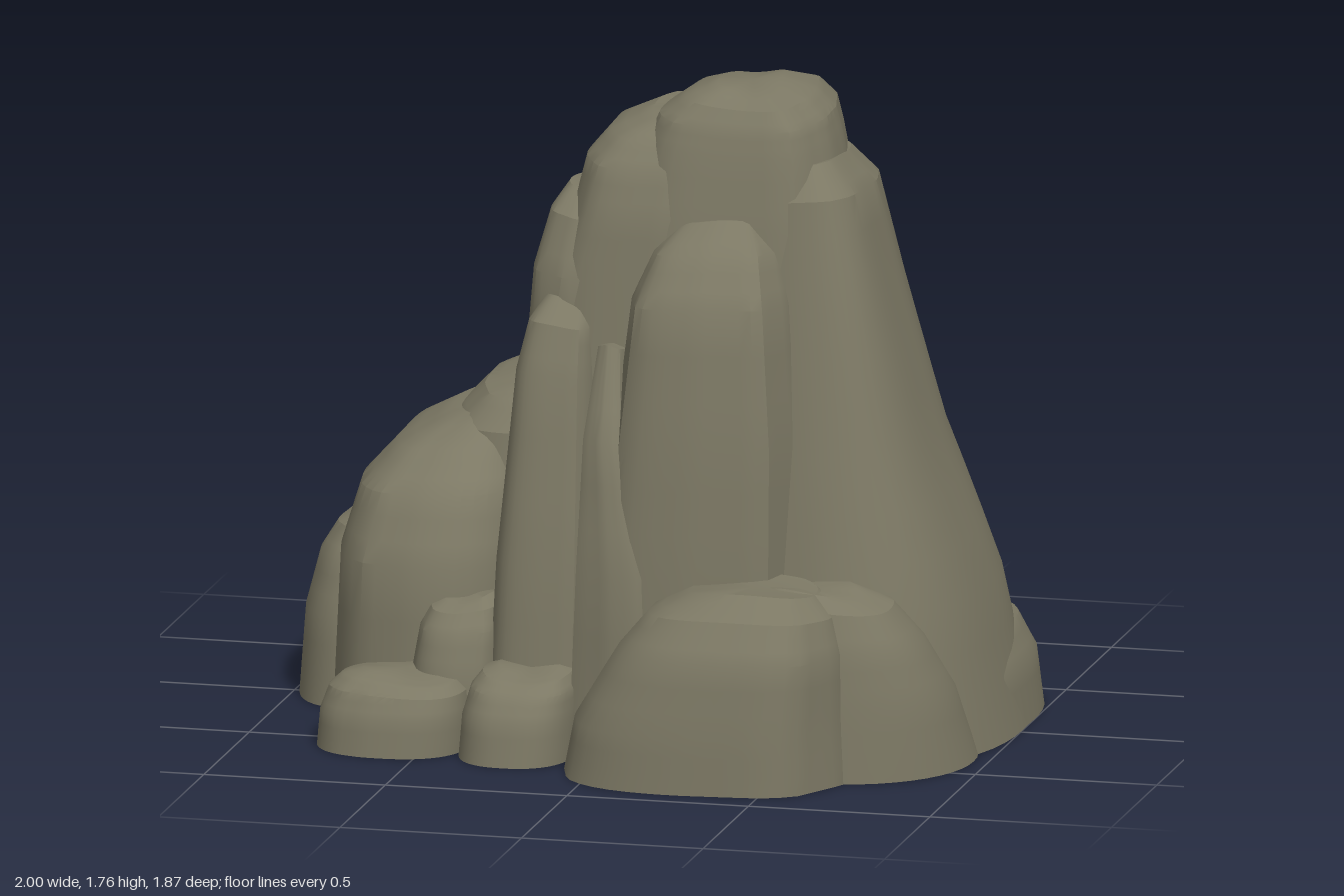
import * as THREE from 'three';
import { toCreasedNormals } from 'three/addons/utils/BufferGeometryUtils.js';

const SIDES = 48, SUB = 3, CUTS = 6;

function makeRandom(seed) {
  let s = seed * 7919 + 17;
  return () => (s = (s * 16807) % 2147483647) / 2147483647;
}

// Radius of a rounded square: power 2 is a circle, higher is squarer
const roundSquare = (a, power) => Math.pow(Math.abs(Math.cos(a)) ** power + Math.abs(Math.sin(a)) ** power, -1 / power);

// Lofts slices [y, xMin, xMax, zMin, zMax] from one squareness to another and chisels flat faces off the sides
function loftRock(slices, seed, [lowPower, highPower], rough) {
  const random = makeRandom(seed);
  const cuts = Array.from({ length: CUTS }, (_, i) => {
    const angle = ((i + 0.2 + 0.6 * random()) / CUTS) * Math.PI * 2;
    return { angle, depth: roundSquare(angle, highPower) * (1 - rough * random()), lean: (random() - 0.5) * rough };
  });
  const rows = [slices[0]];
  for (let i = 1; i < slices.length; i++) {
    for (let k = 1; k <= SUB; k++) rows.push(slices[i].map((v, n) => THREE.MathUtils.lerp(slices[i - 1][n], v, k / SUB)));
  }
  const height = slices[slices.length - 1][0];
  const pos = [], index = [];
  for (const [y, x0, x1, z0, z1] of rows) {
    const t = y / height, power = THREE.MathUtils.lerp(lowPower, highPower, t);
    for (let j = 0; j < SIDES; j++) {
      const a = (j / SIDES) * Math.PI * 2;
      let k = roundSquare(a, power);
      for (const cut of cuts) {
        const facing = Math.cos(a - cut.angle);
        if (facing > 0.2) k = Math.min(k, (cut.depth + cut.lean * (t - 0.5)) / facing);
      }
      const lift = 0.025 * Math.max(0, t - 0.6) * Math.sin(2 * a + seed);
      pos.push((x0 + x1) / 2 + Math.cos(a) * k * (x1 - x0) / 2, y + lift, (z0 + z1) / 2 - Math.sin(a) * k * (z1 - z0) / 2);
    }
  }
  const n = rows.length, bottom = n * SIDES, top = bottom + 1;
  for (const [y, x0, x1, z0, z1] of [rows[0], rows[n - 1]]) pos.push((x0 + x1) / 2, y, (z0 + z1) / 2);
  for (let j = 0; j < SIDES; j++) {
    const q = (j + 1) % SIDES;
    for (let i = 0; i < n - 1; i++) {
      const a = i * SIDES + j, b = i * SIDES + q;
      index.push(a, b, b + SIDES, a, b + SIDES, a + SIDES);
    }
    index.push(q, j, bottom, (n - 1) * SIDES + j, (n - 1) * SIDES + q, top);
  }
  const geo = new THREE.BufferGeometry();
  geo.setAttribute('position', new THREE.Float32BufferAttribute(pos, 3));
  geo.setIndex(index);
  return toCreasedNormals(geo, 0.5);
}

// Boulder slices from its footprint, height and how far the crown shifts
function boulder(x0, x1, z0, z1, h, dx, dz) {
  const cx = (x0 + x1) / 2, cz = (z0 + z1) / 2;
  return [[0, 1], [0.5, 0.98], [0.8, 0.91], [0.94, 0.77], [1, 0.52]].map(([t, k]) => {
    const mx = cx + dx * t * t, mz = cz + dz * t * t, rx = k * (x1 - x0) / 2, rz = k * (z1 - z0) / 2;
    return [t * h, mx - rx, mx + rx, mz - rz, mz + rz];
  });
}

export function createModel() {
  const group = new THREE.Group();
  const stone = new THREE.MeshStandardMaterial({ color: 0x7c7864 });
  stone.name = 'mossy grey stone';
  let seed = 1;
  const add = (name, slices, powers, rough) => {
    const mesh = new THREE.Mesh(loftRock(slices, seed++, powers, rough), stone);
    mesh.name = name;
    group.add(mesh);
  };

  // Tall spire and the columns leaning on it
  add('spire', [
    [0, -0.25, 0.7, -0.5, 0.5], [0.8, -0.2, 0.57, -0.38, 0.37], [1.4, -0.05, 0.54, -0.3, 0.29],
    [1.6, 0.0, 0.5, -0.27, 0.25], [1.67, 0.03, 0.48, -0.26, 0.23], [1.72, 0.1, 0.43, -0.22, 0.2],
    [1.75, 0.18, 0.34, -0.13, 0.12]], [4, 4], 0.03);
  add('spireLeftCrown', [
    [0, -0.34, 0.3, -0.36, 0.45], [0.9, -0.3, 0.25, -0.32, 0.35], [1.25, -0.26, 0.25, -0.3, 0.31],
    [1.42, -0.2, 0.25, -0.28, 0.29], [1.55, -0.17, 0.25, -0.26, 0.25], [1.62, -0.11, 0.25, -0.23, 0.2],
    [1.67, 0, 0.25, -0.16, 0.14]], [3.5, 3.5], 0.04);
  add('rightFlank', [
    [0, 0.1, 1.0, -0.6, 0.56], [0.4, 0.12, 0.91, -0.5, 0.48], [0.8, 0.16, 0.77, -0.37, 0.4],
    [1.2, 0.2, 0.66, -0.29, 0.32], [1.48, 0.24, 0.585, -0.26, 0.26], [1.56, 0.3, 0.51, -0.2, 0.18]], [2.2, 4.2], 0.02);
  add('frontColumn', [
    [0, -0.1, 0.5, 0.05, 0.59], [0.5, -0.07, 0.49, 0.05, 0.57], [0.85, -0.03, 0.48, 0.05, 0.54],
    [1.22, 0.01, 0.44, 0.05, 0.485], [1.35, 0.06, 0.4, 0.05, 0.4], [1.42, 0.12, 0.34, 0.1, 0.29]], [3.6, 3.6], 0.04);
  add('frontRib', [
    [0, -0.13, 0.18, 0.1, 0.6], [0.5, -0.11, 0.14, 0.1, 0.58], [0.85, -0.1, 0.04, 0.1, 0.5],
    [1.08, -0.08, 0.0, 0.15, 0.38]], [4, 4], 0.04);
  add('leftSliver', [
    [0, -0.37, -0.07, 0.05, 0.53], [0.5, -0.35, -0.07, 0.05, 0.49], [1.0, -0.31, -0.09, 0.05, 0.41],
    [1.13, -0.28, -0.1, 0.08, 0.37], [1.19, -0.24, -0.12, 0.13, 0.3]], [3.6, 3.6], 0.04);
  add('leftShoulder', [
    [0, -0.4, 0.1, -0.25, 0.35], [0.9, -0.33, 0.1, -0.25, 0.33], [1.25, -0.3, 0.0, -0.22, 0.3],
    [1.4, -0.26, -0.02, -0.18, 0.24], [1.46, -0.22, -0.08, -0.1, 0.15]], [3.5, 3.5], 0.05);
  add('backFlank', [
    [0, -0.2, 0.68, -0.73, 0], [0.5, -0.18, 0.62, -0.66, 0], [0.82, -0.17, 0.56, -0.58, 0],
    [1.13, -0.12, 0.5, -0.45, 0], [1.31, -0.02, 0.45, -0.32, 0]], [3, 3.4], 0.05);

  // Broad lower domes on the left
  add('leftDome', [
    [0, -0.75, 0.05, -0.88, 0.2], [0.4, -0.7, 0.03, -0.82, 0.2], [0.62, -0.64, 0.0, -0.74, 0.18],
    [0.78, -0.58, -0.03, -0.6, 0.15], [0.86, -0.5, -0.08, -0.45, 0.08], [0.89, -0.4, -0.13, -0.33, 0]], [3, 3], 0.04);
  add('leftFrontDome', [
    [0, -0.87, -0.3, -0.56, 0.42], [0.45, -0.85, -0.3, -0.53, 0.4], [0.63, -0.8, -0.32, -0.47, 0.32],
    [0.73, -0.71, -0.36, -0.38, 0.2], [0.8, -0.58, -0.38, -0.25, 0.05]], [2.5, 2.8], 0.03);

  // Sloping boulders at the front foot
  add('frontBoulder', [
    [0, -0.09, 0.69, 0.3, 0.93], [0.15, -0.06, 0.68, 0.3, 0.92], [0.35, 0.06, 0.67, 0.33, 0.89],
    [0.45, 0.14, 0.64, 0.38, 0.83], [0.5, 0.24, 0.58, 0.45, 0.72]], [2.7, 2.7], 0.05);
  add('frontRightBoulder', [
    [0, 0.2, 0.96, 0.0, 0.71], [0.2, 0.26, 0.91, 0.12, 0.69], [0.35, 0.33, 0.84, 0.25, 0.67],
    [0.45, 0.38, 0.77, 0.36, 0.64], [0.49, 0.42, 0.67, 0.43, 0.59]], [2.1, 2.5], 0.02);

  // Ring of boulders round the rest of the foot
  const foot = [
    ['rightBackBoulder', 0.3, 1.0, -0.6, 0.3, 0.31, -0.06, 0.04],
    ['backRightBoulder', 0.1, 0.78, -0.69, -0.15, 0.33, -0.02, 0.04],
    ['backBoulder', -0.28, 0.4, -0.91, -0.3, 0.4, 0, 0.05],
    ['backLeftBoulder', -0.74, -0.16, -0.94, -0.35, 0.42, 0.02, 0.05],
    ['leftBackBoulder', -0.82, -0.42, -0.82, -0.2, 0.5, 0.04, 0.05],
    ['farLeftBoulder', -1.0, -0.62, -0.5, 0.18, 0.49, 0.06, -0.04],
    ['smallLeftRock', -0.8, -0.39, 0.32, 0.71, 0.2, 0.02, -0.03],
    ['smallMiddleRock', -0.4, -0.09, 0.35, 0.74, 0.23, 0.02, -0.06],
    ['upperSmallRock', -0.58, -0.32, 0.2, 0.55, 0.38, 0.02, -0.05],
  ];
  for (const [name, ...shape] of foot) add(name, boulder(...shape), [2.4, 2.8], 0.03);
  return group;
}
